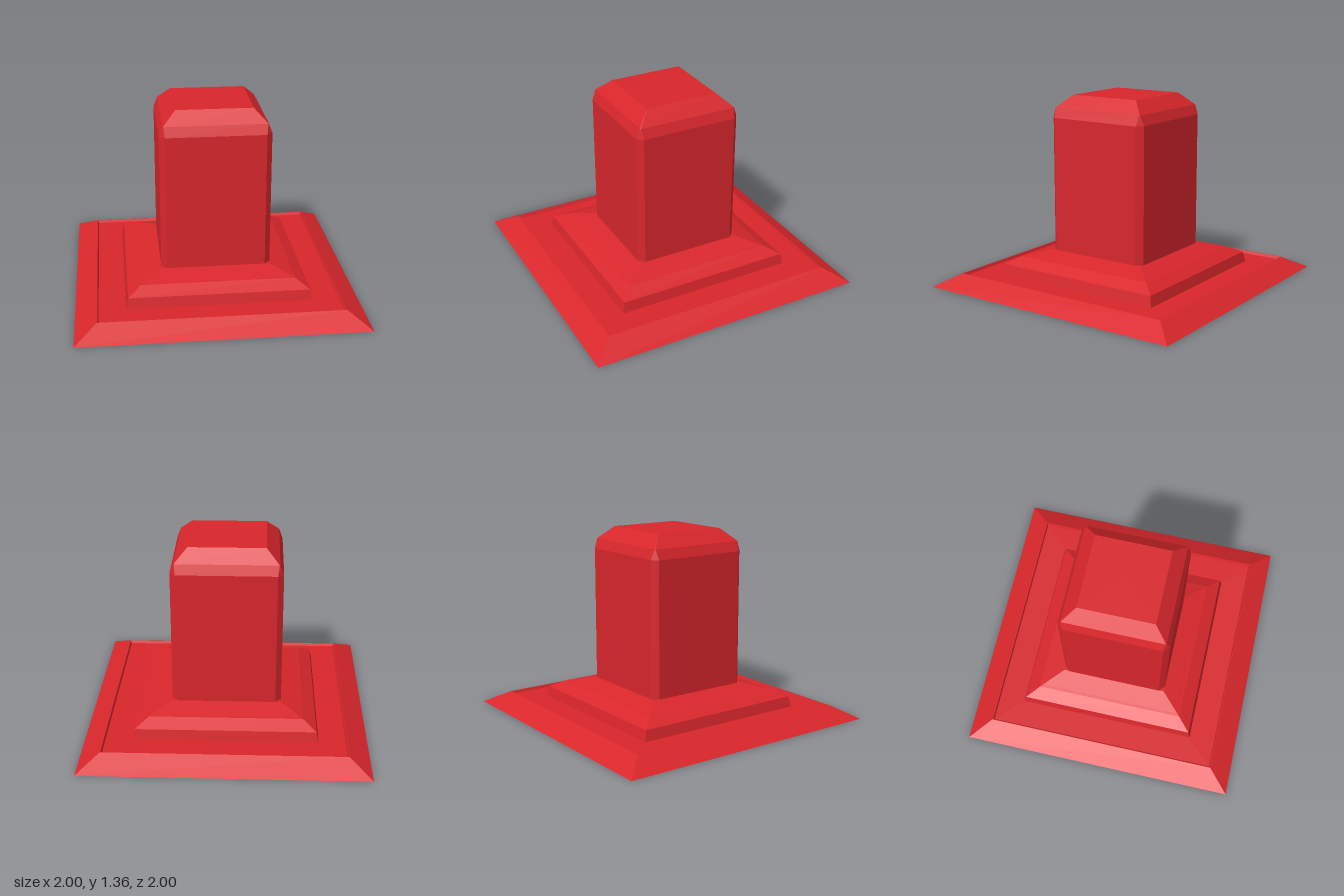
import * as THREE from 'three';

const red = new THREE.MeshStandardMaterial({ color: 0xd8262b, flatShading: true });

// Corners of a square ring with half-width h at height y; c cuts the corners
function ring([h, y, c = 0]) {
  const points = [];
  const i = h - c;
  // Walk from the +x side round towards +z
  for (const [x, z] of [[h, -i], [h, i], [i, h], [-i, h], [-h, i], [-h, -i], [-i, -h], [i, -h]]) {
    points.push(new THREE.Vector3(x, y, z));
  }
  return points;
}

// Closed solid lofted through square rings, listed from bottom to top
function squareLoft(name, profile) {
  const rings = profile.map(ring);
  const positions = [];
  const tri = (a, b, c) => {
    const area = b.clone().sub(a).cross(c.clone().sub(a)).length();
    if (area > 1e-9) for (const p of [a, b, c]) positions.push(p.x, p.y, p.z);
  };
  for (let r = 0; r < rings.length - 1; r++) {
    for (let k = 0; k < 8; k++) {
      const n = (k + 1) % 8;
      const [a, b, upA, upB] = [rings[r][k], rings[r][n], rings[r + 1][k], rings[r + 1][n]];
      tri(a, upA, b);
      tri(b, upA, upB);
    }
  }
  // Bottom and top caps
  const first = rings[0], last = rings[rings.length - 1];
  const low = new THREE.Vector3(0, first[0].y, 0);
  const high = new THREE.Vector3(0, last[0].y, 0);
  for (let k = 0; k < 8; k++) {
    const n = (k + 1) % 8;
    tri(low, first[k], first[n]);
    tri(high, last[n], last[k]);
  }
  const geometry = new THREE.BufferGeometry();
  geometry.setAttribute('position', new THREE.Float32BufferAttribute(positions, 3));
  geometry.computeVertexNormals();
  const mesh = new THREE.Mesh(geometry, red);
  mesh.name = name;
  return mesh;
}

export function createModel() {
  const model = new THREE.Group();
  model.name = 'squarePost';
  model.add(
    // Sloped base plate with a shallow recess inside its rim
    squareLoft('basePlate', [[1, 0], [0.847, 0.09], [0.843, 0.09], [0.835, 0.07]]),
    // Stepped collar around the foot of the post
    squareLoft('collar', [[0.65, 0.06], [0.632, 0.145], [0.54, 0.195], [0.52, 0.2], [0.385, 0.24]]),
    // Post with chamfered upright edges and a bevelled top
    squareLoft('post', [[0.387, 0.2, 0.04], [0.387, 1.205, 0.04], [0.36, 1.275, 0.004], [0.268, 1.363]])
  );
  return model;
}
